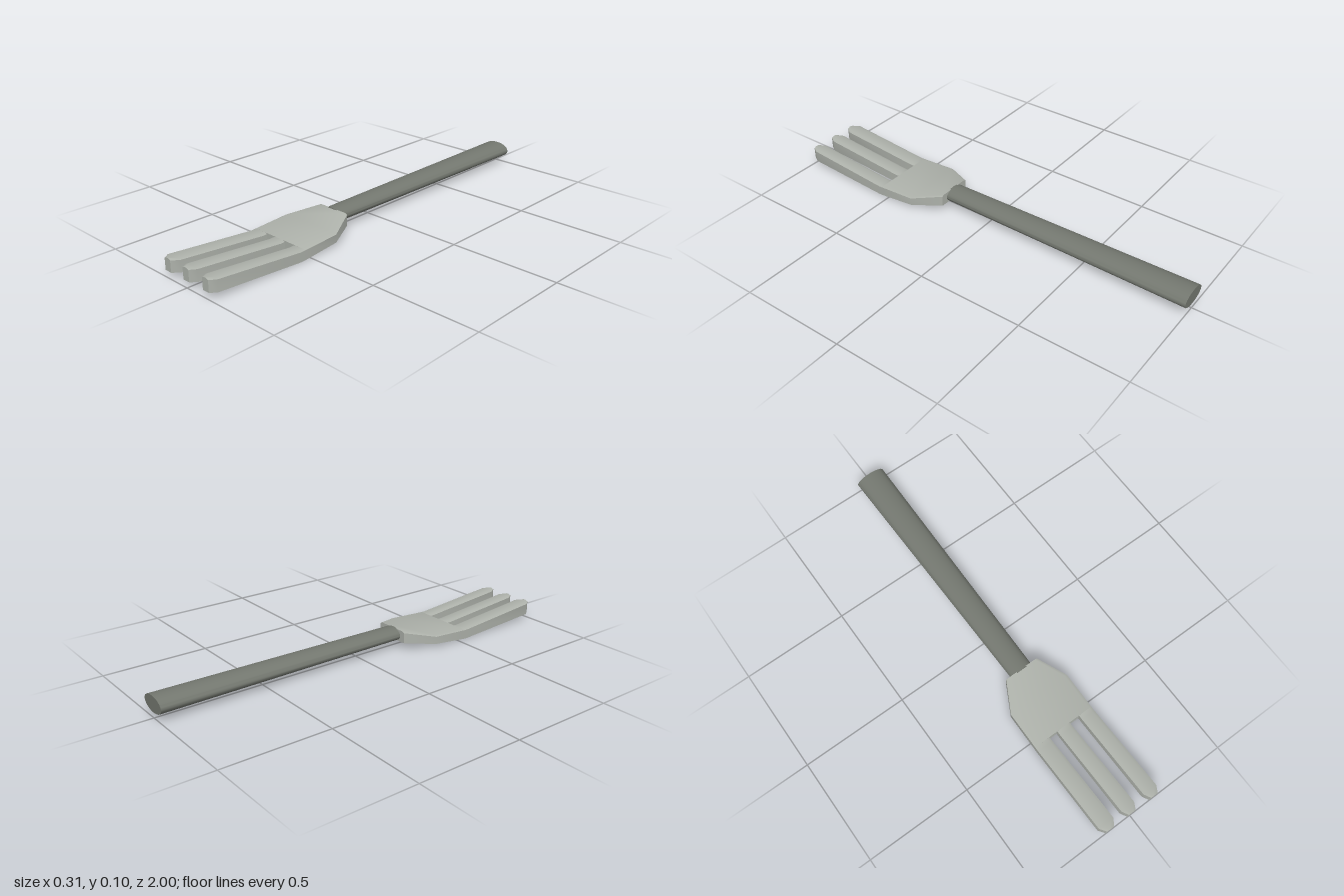
import * as THREE from 'three';
import { toCreasedNormals } from 'three/addons/utils/BufferGeometryUtils.js';

const steel = new THREE.MeshStandardMaterial({ name: 'light steel', color: 0xaeb2ab });
const grip = new THREE.MeshStandardMaterial({ name: 'dark grey', color: 0x747870 });

// Skin a list of closed rings (counter-clockwise seen from +z, ordered by rising z) and cap both ends
function loft(rings, crease) {
  const n = rings[0].length, pos = [], index = [];
  rings.forEach(ring => ring.forEach(p => pos.push(...p)));
  for (let i = 0; i < rings.length - 1; i++) {
    for (let j = 0; j < n; j++) {
      const a = i * n + j, b = i * n + (j + 1) % n;
      index.push(a, b, b + n, a, b + n, a + n);
    }
  }
  const last = (rings.length - 1) * n;
  for (let j = 1; j < n - 1; j++) {
    index.push(0, j + 1, j, last, last + j, last + j + 1);
  }
  const geometry = new THREE.BufferGeometry();
  geometry.setAttribute('position', new THREE.Float32BufferAttribute(pos, 3));
  geometry.setIndex(index);
  return toCreasedNormals(geometry, crease);
}

// Flat bar section with softly rounded upper edges
function barRing([z, x0, x1, y0, y1]) {
  const inset = 0.012, drop = 0.005;
  return [
    [x0, y0, z], [x1, y0, z], [x1, y1 - drop, z],
    [x1 - inset, y1, z], [x0 + inset, y1, z], [x0, y1 - drop, z],
  ];
}

function ovalRing([z, rx, ry, y]) {
  const sides = 24;
  return Array.from({ length: sides }, (_, i) => {
    const a = (i / sides) * Math.PI * 2;
    return [Math.cos(a) * rx, y + Math.sin(a) * ry, z];
  });
}

export function createModel() {
  const fork = new THREE.Group();
  fork.name = 'fork';
  const add = (name, rings, material, crease) => {
    const mesh = new THREE.Mesh(loft(rings, crease), material);
    mesh.name = name;
    fork.add(mesh);
  };

  // Oval handle, slightly wider at the far end
  add('handle', [[-1, 0.072, 0.037, 0.061], [0.225, 0.056, 0.031, 0.061]].map(ovalRing), grip, 0.7);

  // Palm that flares out from the neck and dips
  add('palm', [
    [0.22, -0.083, 0.087, 0.034, 0.089],
    [0.355, -0.156, 0.155, 0.02, 0.061],
    [0.533, -0.156, 0.155, 0.001, 0.05],
  ].map(barRing), steel, 0.65);

  // Three tines that rise toward chamfered tips
  const tines = { rightTine: [-0.156, -0.078], middleTine: [-0.035, 0.034], leftTine: [0.086, 0.155] };
  for (const [name, [x0, x1]] of Object.entries(tines)) {
    const c = (x0 + x1) / 2;
    add(name, [
      [0.53, x0, x1, 0.001, 0.05],
      [0.555, x0, x1, 0, 0.049],
      [0.97, x0, x1, 0.027, 0.086],
      [1, c - 0.018, c + 0.018, 0.03, 0.088],
    ].map(barRing), steel, 0.65);
  }
  return fork;
}
